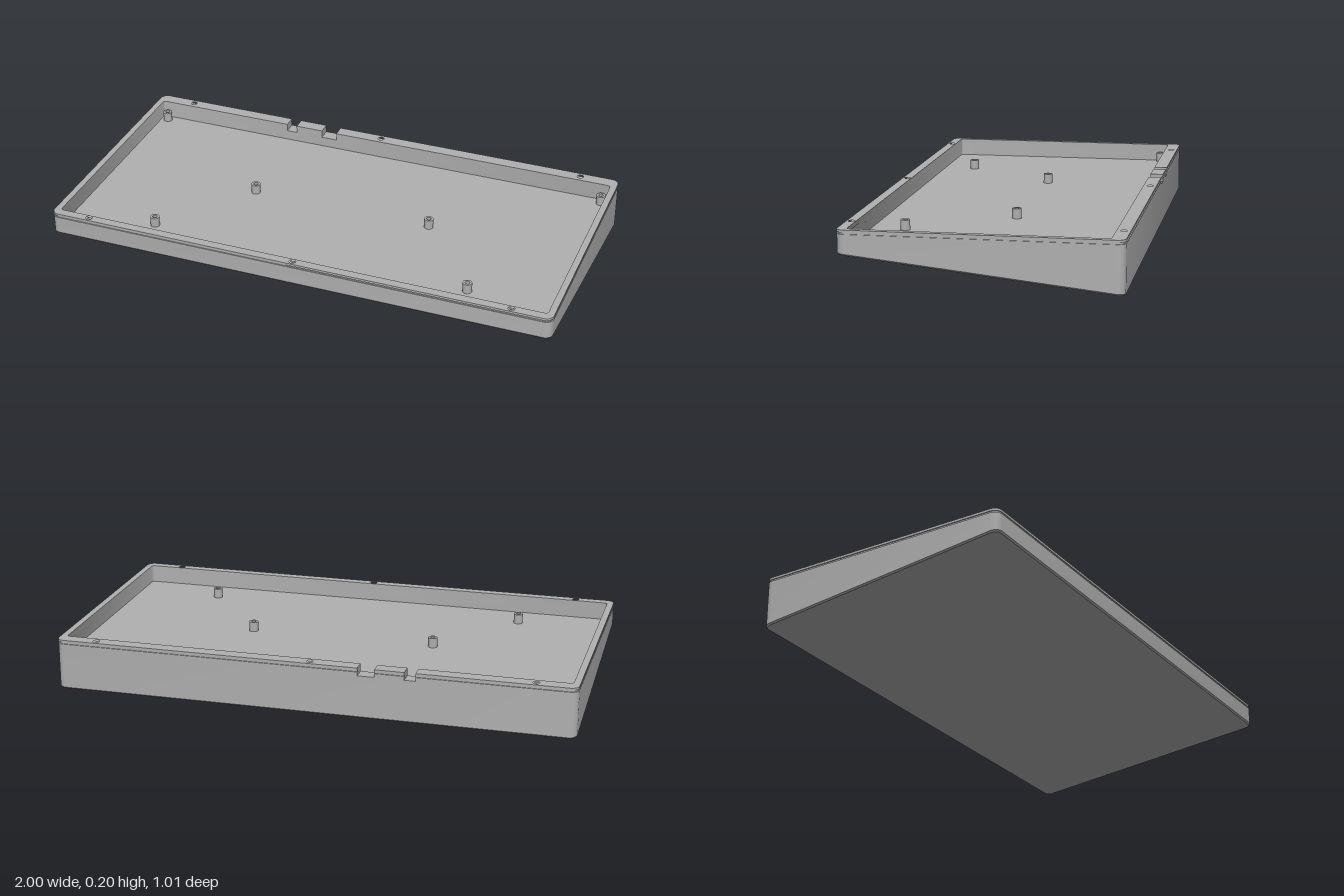
import * as THREE from 'three';
import { toCreasedNormals } from 'three/addons/utils/BufferGeometryUtils.js';

const TOP = 0.197, LEDGE = 0.167, FLOOR = 0.127;
const HALF_W = 1, HALF_D = 0.507, FRONT_RISE = 0.108;
const IN_W = 0.975, IN_D = 0.464, IN_Z = 0.008; // inner cavity outline

// Rounded rectangle as [x, z] points, starting at the back right-hand end (+x, -z)
function outline(hw, hd, r, cz = 0, n = 8) {
  const pts = [];
  for (const q of [3, 0, 1, 2]) {
    const sx = q === 0 || q === 3 ? 1 : -1, sz = q < 2 ? 1 : -1;
    for (let i = 0; i <= n; i++) {
      const a = (q + i / n) * Math.PI / 2;
      pts.push([sx * (hw - r) + r * Math.cos(a), cz + sz * (hd - r) + r * Math.sin(a)]);
    }
  }
  return pts;
}

// Skin a list of rings, each with the same number of [x, y, z] points
function loft(rings) {
  const pos = [];
  const same = (a, b) => Math.hypot(a[0] - b[0], a[1] - b[1], a[2] - b[2]) < 1e-6;
  const tri = (a, b, c) => {
    if (!same(a, b) && !same(b, c) && !same(a, c)) pos.push(...a, ...b, ...c);
  };
  for (let k = 0; k < rings.length - 1; k++) {
    const lo = rings[k], hi = rings[k + 1];
    for (let i = 0; i < lo.length; i++) {
      const j = (i + 1) % lo.length;
      tri(lo[i], hi[i], lo[j]);
      tri(lo[j], hi[i], hi[j]);
    }
  }
  const geo = new THREE.BufferGeometry();
  geo.setAttribute('position', new THREE.Float32BufferAttribute(pos, 3));
  return toCreasedNormals(geo, 0.5);
}

export function createModel() {
  const model = new THREE.Group();
  model.name = 'wedgeCase';
  const grey = new THREE.MeshStandardMaterial({ color: 0xb0b0b0 });
  grey.name = 'grey';
  const add = (name, geo, x = 0, y = 0, z = 0) => {
    const mesh = new THREE.Mesh(geo, grey);
    mesh.name = name;
    mesh.position.set(x, y, z);
    model.add(mesh);
  };

  // Tray: sloping underside with a small chamfer, outer walls, cavity and level floor
  const slope = z => (z + HALF_D) / (2 * HALF_D) * FRONT_RISE;
  const ring = (pts, y) => pts.map(([x, z]) => [x, y(z), z]);
  const outer = outline(HALF_W, HALF_D, 0.03);
  const inner = outline(IN_W, IN_D, 0.012, IN_Z);
  const chamfer = outline(HALF_W - 0.005, HALF_D - 0.005, 0.025);
  add('tray', loft([
    ring(outline(0, 0, 0), slope),
    ring(chamfer, slope),
    ring(outer, z => slope(z) + 0.006),
    ring(outer, () => LEDGE),
    ring(inner, () => LEDGE),
    ring(inner, () => FLOOR),
    ring(outline(0, 0, 0, IN_Z), () => FLOOR),
  ]));

  // Upper wall: open at two cable notches in the back, with screw holes
  const notchL = [-0.406, -0.364], notchR = [-0.251, -0.187];
  const inBack = IN_Z - IN_D;
  const toShape = pts => new THREE.Shape(pts.map(([x, z]) => new THREE.Vector2(x, -z)));
  const raise = (shape, height) => {
    const geo = new THREE.ExtrudeGeometry(shape, { depth: height, bevelEnabled: false, curveSegments: 10 });
    geo.rotateX(-Math.PI / 2);
    return toCreasedNormals(geo, 0.5);
  };
  const layers = [
    ['upperWall', LEDGE, 0.1815, 0],
    ['shadowGroove', 0.1815, 0.188, 0.004],
    ['rim', 0.188, TOP, 0],
  ];
  for (const [name, y0, y1, inset] of layers) {
    const back = -HALF_D + inset;
    const wall = toShape([
      [notchR[1], back],
      ...outline(HALF_W - inset, HALF_D - inset, 0.03 - inset),
      [notchL[0], back],
      [notchL[0], inBack],
      ...[...inner].reverse(),
      [notchR[1], inBack],
    ]);
    for (const x of [-0.845, 0, 0.845]) {
      for (const z of [-0.483, 0.488]) {
        wall.holes.push(new THREE.Path().absarc(x, -z, 0.0125, 0, Math.PI * 2, true));
      }
    }
    add(name, raise(wall, y1 - y0), 0, y0);

    // Block left standing between the notches
    const block = toShape([
      [notchL[1], back], [notchR[0], back], [notchR[0], inBack], [notchL[1], inBack],
    ]);
    add(name + 'Block', raise(block, y1 - y0), 0, y0);
  }

  // Hollow mounting posts, mirrored left and right
  const profile = [[0.018, 0], [0.018, 0.038], [0.009, 0.038], [0.009, 0.004], [0, 0.004]];
  const post = toCreasedNormals(
    new THREE.LatheGeometry(profile.map(p => new THREE.Vector2(...p)), 20), 0.5);
  for (const [x, z] of [[0.946, -0.427], [0.364, -0.02], [0.636, 0.344]]) {
    for (const side of [-1, 1]) add('mountingPost', post, side * x, FLOOR, z);
  }
  return model;
}
